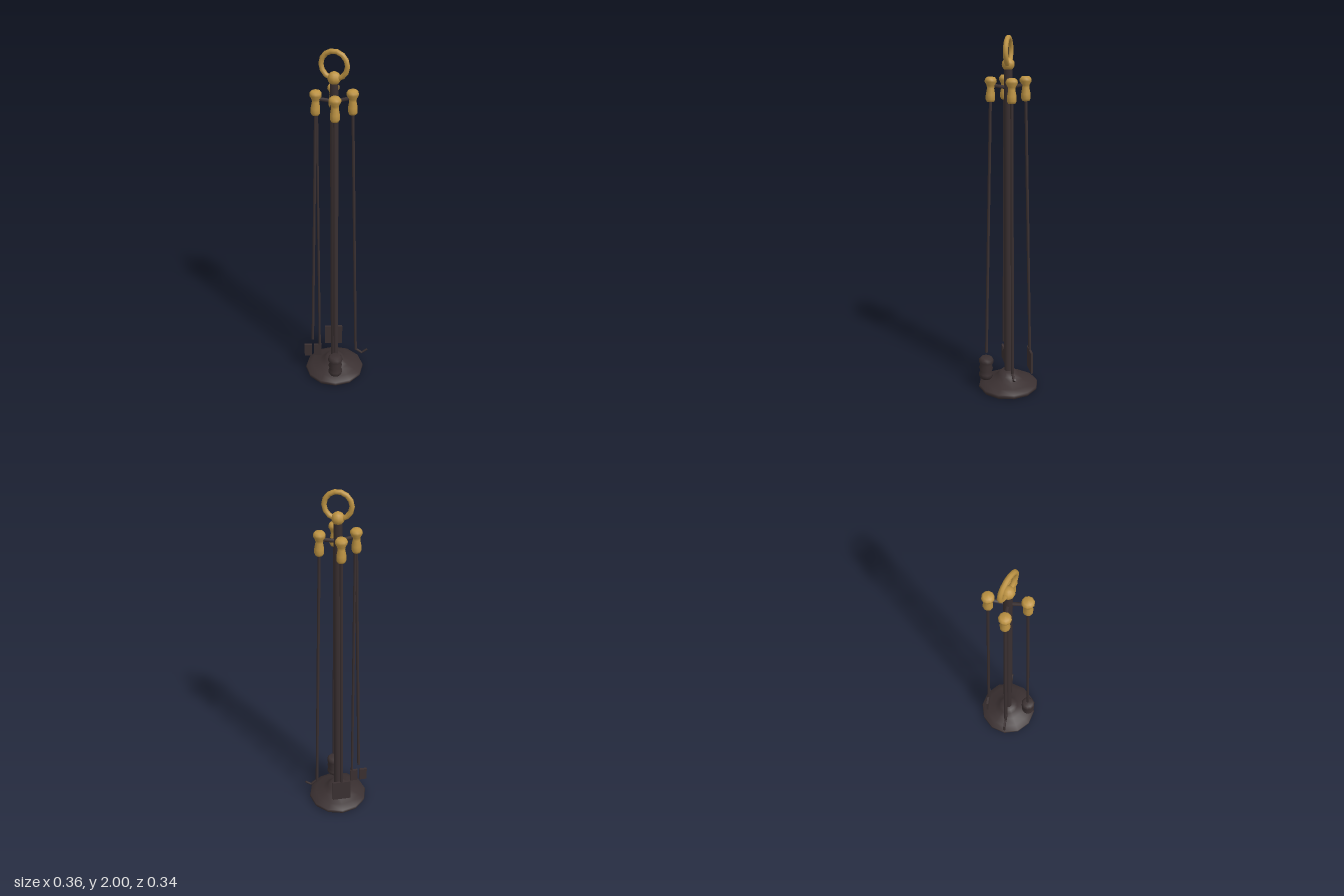
import * as THREE from 'three';

export function createModel() {
  const iron = new THREE.MeshStandardMaterial({ color: 0x3a3031 });
  iron.name = 'dark iron';
  const brass = new THREE.MeshStandardMaterial({ color: 0xbd9343 });
  brass.name = 'brass';

  const model = new THREE.Group();
  model.name = 'fireplaceToolSet';
  const stand = new THREE.Group();
  stand.name = 'stand';
  stand.position.x = -0.007;
  model.add(stand);

  const add = (parent, name, geometry, material, x = 0, y = 0, z = 0) => {
    const mesh = new THREE.Mesh(geometry, material);
    mesh.name = name;
    mesh.position.set(x, y, z);
    parent.add(mesh);
    return mesh;
  };
  const lathe = (points, sides) =>
    new THREE.LatheGeometry(points.map(([r, y]) => new THREE.Vector2(r, y)), sides);
  // Straight round bar between two points of the local x-y plane
  const bar = (parent, name, [x1, y1], [x2, y2], radius) => {
    const length = Math.hypot(x2 - x1, y2 - y1);
    const mesh = add(parent, name, new THREE.CylinderGeometry(radius, radius, length, 6),
      iron, (x1 + x2) / 2, (y1 + y2) / 2);
    mesh.rotation.z = Math.atan2(y2 - y1, x2 - x1) - Math.PI / 2;
    return mesh;
  };

  // Flared foot and central pole
  const base = add(stand, 'base', lathe([[0, 0], [0.165, 0], [0.165, 0], [0.173, 0.012],
    [0.17, 0.025], [0.135, 0.042], [0.09, 0.06], [0.06, 0.08], [0.042, 0.102], [0, 0.106]], 12), iron);
  base.rotation.y = 0.4;
  add(stand, 'pole', new THREE.CylinderGeometry(0.023, 0.023, 1.75, 8), iron, 0, 0.955);

  // Knob and carrying ring
  add(stand, 'topKnob', new THREE.SphereGeometry(0.034, 10, 8), brass, 0, 1.85);
  add(stand, 'carryingRing', new THREE.TorusGeometry(0.07, 0.0135, 8, 14), brass, 0, 1.917);

  const gripShape = lathe([[0, -0.062], [0.019, -0.062], [0.025, -0.05], [0.025, -0.025],
    [0.019, 0.008], [0.021, 0.022], [0.032, 0.042], [0.031, 0.054], [0.022, 0.066], [0, 0.068]], 10);

  // One arm with its hanging tool; local +x points away from the pole
  const top = [0.094, 1.72];
  const makeTool = (name, degrees, rodEnd) => {
    const tool = new THREE.Group();
    tool.name = name;
    tool.rotation.y = THREE.MathUtils.degToRad(degrees);
    stand.add(tool);
    bar(tool, 'arm', [0.01, 1.73], [0.088, 1.745], 0.01);
    const grip = add(tool, 'grip', gripShape, brass, top[0], top[1]);
    grip.rotation.z = 0.0215;
    bar(tool, 'rod', top, rodEnd, 0.0085);
    return tool;
  };

  // Poker with a bent tip
  const poker = makeTool('poker', 23, [0.128, 0.14]);
  bar(poker, 'pokerBend', [0.127, 0.143], [0.165, 0.112], 0.007);
  bar(poker, 'pokerTip', [0.163, 0.112], [0.197, 0.137], 0.006);

  // Shovel
  const shovel = makeTool('shovel', 113, [0.127, 0.22]);
  const blade = add(shovel, 'shovelBlade', new THREE.BoxGeometry(0.012, 0.13, 0.106), iron, 0.129, 0.155);
  blade.rotation.z = 0.02;

  // Tongs with two legs and flat pads
  const tongs = makeTool('tongs', 203, [0.129, 0.225]);
  bar(tongs, 'innerLeg', [0.088, 1.68], [0.088, 0.17], 0.0075);
  for (const x of [0.1, 0.157])
    add(tongs, 'tongPad', new THREE.BoxGeometry(0.045, 0.08, 0.013), iron, x, 0.145);

  // Brush
  const brush = makeTool('brush', 293, [0.127, 0.225]);
  const bristles = add(brush, 'brushHead', lathe([[0, -0.066], [0.03, -0.066], [0.04, -0.052],
    [0.041, -0.035], [0.034, -0.018], [0.041, 0], [0.034, 0.018], [0.042, 0.036],
    [0.041, 0.054], [0.03, 0.066], [0, 0.066]], 10), iron, 0.13, 0.13);
  bristles.rotation.z = 0.0215;

  return model;
}
